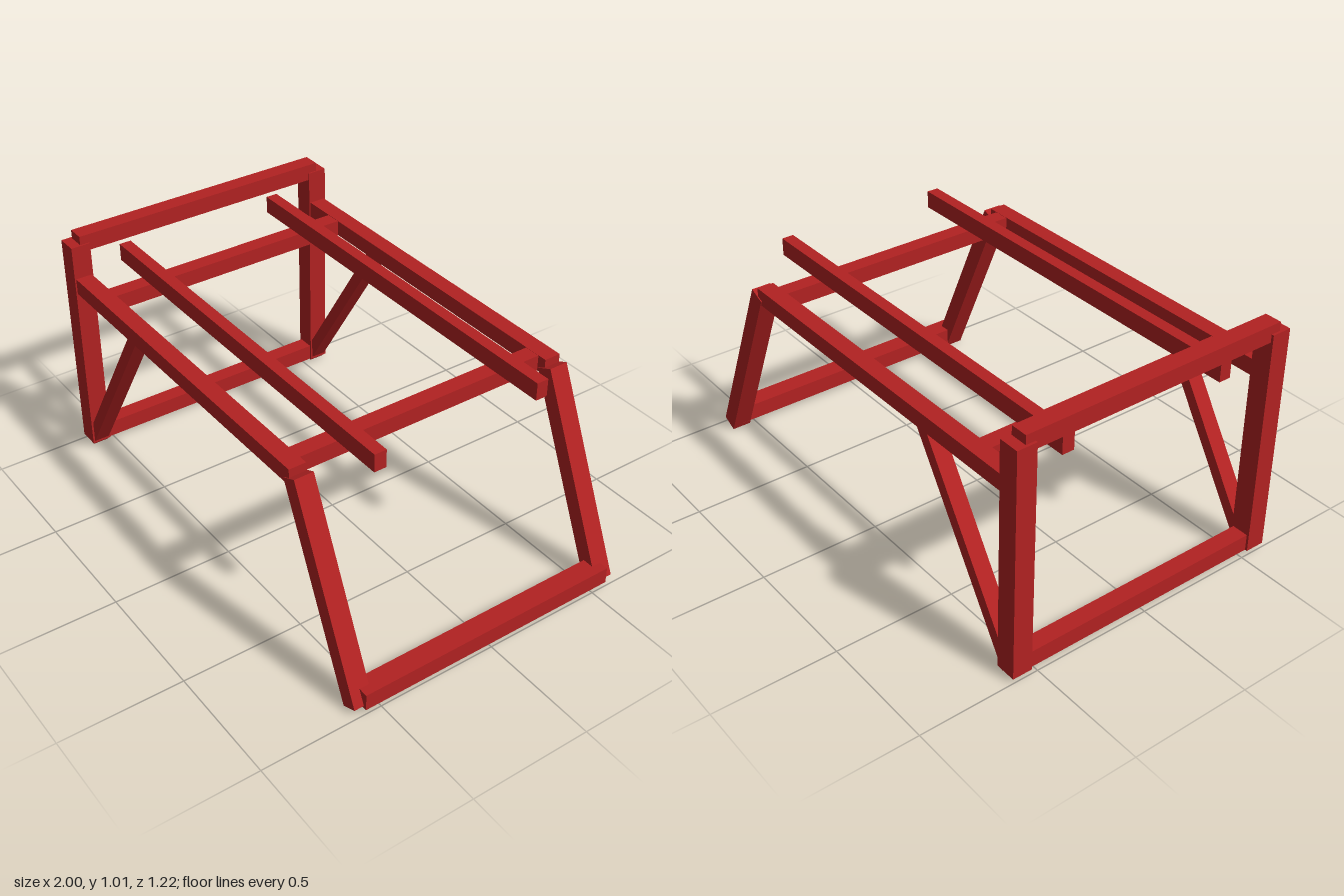
import * as THREE from 'three';

export function createModel() {
  const model = new THREE.Group();
  model.name = 'timberFrame';
  const red = new THREE.MeshStandardMaterial({ color: 0xb22222 });
  red.name = 'paintedRed';

  // Straight beam given by its limits on each axis
  function beam(name, [x0, x1], [y0, y1], [z0, z1]) {
    const mesh = new THREE.Mesh(new THREE.BoxGeometry(x1 - x0, y1 - y0, z1 - z0), red);
    mesh.name = name;
    mesh.position.set((x0 + x1) / 2, (y0 + y1) / 2, (z0 + z1) / 2);
    model.add(mesh);
  }

  // Sloping beam between two points in the xy plane
  function slopingBeam(name, [ax, ay], [bx, by], width, depth, z) {
    const length = Math.hypot(bx - ax, by - ay);
    const mesh = new THREE.Mesh(new THREE.BoxGeometry(length, width, depth), red);
    mesh.name = name;
    mesh.position.set((ax + bx) / 2, (ay + by) / 2, z);
    mesh.rotation.z = Math.atan2(by - ay, bx - ax);
    model.add(mesh);
  }

  // Mirrored parts of the two side frames
  for (const s of [1, -1]) {
    const side = s > 0 ? 'Front' : 'Back';
    const span = (c, w) => [s * c - w / 2, s * c + w / 2];
    beam('post' + side, [-1, -0.914], [0.02, 0.973], span(0.567, 0.082));
    beam('sideRail' + side, [-0.92, 0.6], [0.765, 0.832], span(0.567, 0.07));
    beam('slat' + side, [-0.95, 0.775], [0.832, 0.905], span(0.355, 0.05));
    slopingBeam('slopingLeg' + side, [0.604, 0.799], [0.955, 0.015], 0.07, 0.08, s * 0.566);
    slopingBeam('brace' + side, [-0.951, 0.018], [-0.456, 0.8], 0.05, 0.066, s * 0.567);
  }

  // Beams running across the frame
  const across = [-0.566, 0.566];
  beam('topRail', [-0.99, -0.92], [0.94, 1.01], across);
  beam('postFootRail', [-0.99, -0.92], [0.02, 0.09], across);
  beam('legFootRail', [0.914, 1], [0.02, 0.09], across);
  beam('crossBeamPostEnd', [-0.778, -0.71], [0.765, 0.831], [-0.54, 0.54]);
  beam('crossBeamLegEnd', [0.495, 0.562], [0.765, 0.831], [-0.54, 0.54]);

  return model;
}
